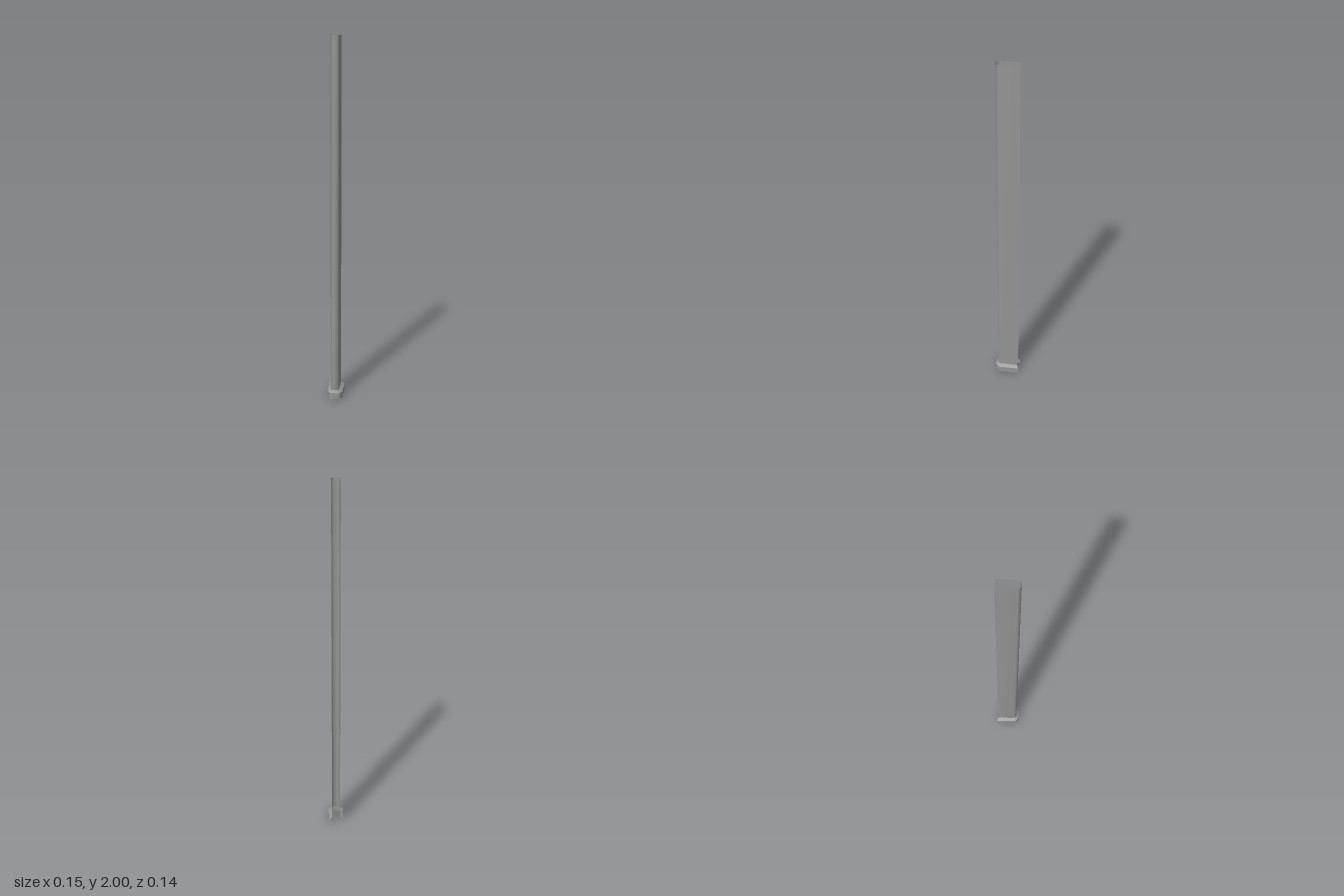
import * as THREE from 'three';

// U-shaped plan outlines [x, z], running from the back arm round the bend to the front arm
const shaftPlan = [
  [0.024, -0.051], [-0.054, 0.014], [-0.058, 0.034],
  [-0.042, 0.052], [-0.024, 0.050], [0.053, -0.015],
];
const footPlan = [
  [0.019, -0.072], [-0.072, 0.004], [-0.076, 0.034],
  [-0.049, 0.068], [-0.017, 0.070], [0.074, -0.007],
];

// Open sheet joining a lower outline to an upper one, shaded smoothly round the bend
function sheet(name, low, y0, high, y1, material) {
  const positions = [];
  const indices = [];
  low.forEach(([x, z], i) => {
    positions.push(x, y0, z, high[i][0], y1, high[i][1]);
    if (i > 0) {
      const a = 2 * i - 2;
      indices.push(a, a + 2, a + 3, a, a + 3, a + 1);
    }
  });
  const geometry = new THREE.BufferGeometry();
  geometry.setAttribute('position', new THREE.Float32BufferAttribute(positions, 3));
  geometry.setIndex(indices);
  geometry.computeVertexNormals();
  const mesh = new THREE.Mesh(geometry, material);
  mesh.name = name;
  return mesh;
}

export function createModel() {
  const material = new THREE.MeshStandardMaterial({
    color: 0x959595, side: THREE.DoubleSide,
  });
  const group = new THREE.Group();
  group.name = 'channelPost';
  // Foot skirt, sloping shoulder and tall open channel
  group.add(
    sheet('footSkirt', footPlan, 0, footPlan, 0.036, material),
    sheet('footShoulder', footPlan, 0.036, shaftPlan, 0.047, material),
    sheet('shaft', shaftPlan, 0.047, shaftPlan, 2, material),
  );
  return group;
}
